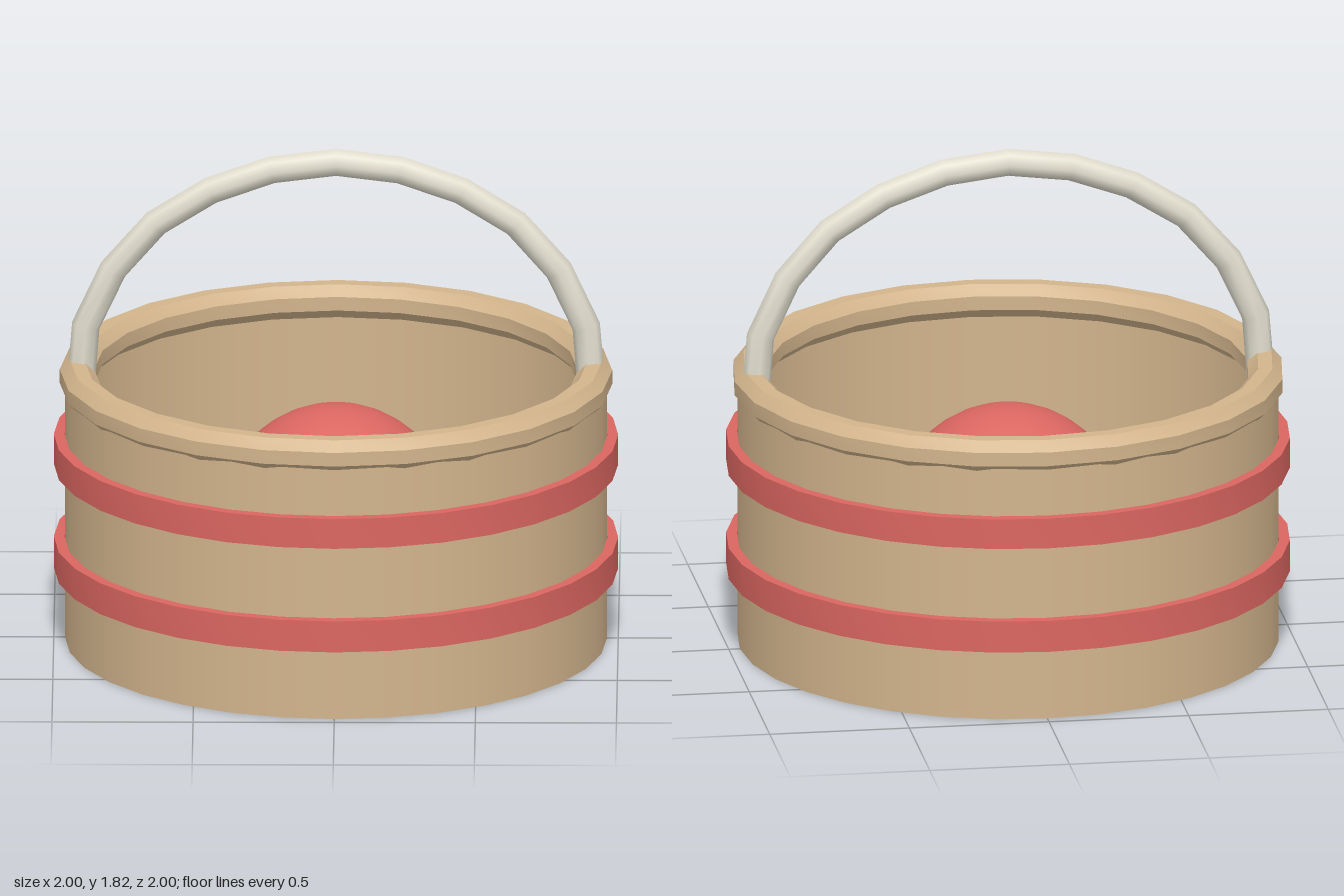
import * as THREE from 'three';
import { toCreasedNormals } from 'three/addons/utils/BufferGeometryUtils.js';

const paint = (name, color, side = THREE.FrontSide) => {
  const m = new THREE.MeshStandardMaterial({ color, side });
  m.name = name;
  return m;
};

// Closed ring turned from a counter-clockwise (radius, height) outline
function ring(outline, segments) {
  const pts = [...outline, outline[0]].map(([r, y]) => new THREE.Vector2(r, y));
  return toCreasedNormals(new THREE.LatheGeometry(pts, segments), 0.5);
}

// Five-pointed star with a raised centre and a flat underside
function starGeometry(outer, inner, height) {
  const corner = (i) => {
    const a = (i * Math.PI) / 5;
    const r = i % 2 ? inner : outer;
    return [Math.sin(a) * r, 0, -Math.cos(a) * r];
  };
  const pos = [];
  for (let i = 0; i < 10; i++) {
    const a = corner(i), b = corner(i + 1);
    pos.push(...b, ...a, 0, height, 0);
    pos.push(...a, ...b, 0, 0, 0);
  }
  const g = new THREE.BufferGeometry();
  g.setAttribute('position', new THREE.Float32BufferAttribute(pos, 3));
  g.computeVertexNormals();
  return g;
}

export function createModel() {
  const group = new THREE.Group();
  const tan = paint('tan', 0xd2b48c);
  const tanSheet = paint('tanSheet', 0xd2b48c, THREE.DoubleSide);
  const red = paint('red', 0xdb6661);
  const ivory = paint('ivory', 0xe2decf);
  const gold = paint('gold', 0xdcbe4c);

  const add = (name, geometry, material, y = 0) => {
    const mesh = new THREE.Mesh(geometry, material);
    mesh.name = name;
    mesh.position.y = y;
    group.add(mesh);
    return mesh;
  };

  // Basket wall and floor
  add('wall', new THREE.CylinderGeometry(0.96, 0.96, 0.96, 32, 1, true), tanSheet, 0.48);
  add('floor', new THREE.CircleGeometry(0.96, 32).rotateX(-Math.PI / 2), tanSheet, 0.002);

  // Eight-sided rolled rim
  const rim = [];
  for (let i = 0; i < 8; i++) {
    const a = ((i - 0.5) * Math.PI) / 4;
    rim.push([0.918 + 0.066 * Math.cos(a), 0.969 + 0.066 * Math.sin(a)]);
  }
  add('rim', ring(rim, 24), tan);

  // Painted hoops
  for (const [name, y0, y1] of [['lowerHoop', 0.26, 0.375], ['upperHoop', 0.645, 0.755]]) {
    add(name, ring([[0.962, y0], [1, y0], [1, y1], [0.962, y1]], 32), red);
  }

  // Arched handle, mirrored from one half
  const half = [[0.905, 0.93], [0.89, 1.145], [0.8, 1.35], [0.655, 1.525], [0.455, 1.655], [0.235, 1.735]];
  const path = [
    ...half.map(([x, y]) => new THREE.Vector3(-x, y, 0)),
    new THREE.Vector3(0, 1.765, 0),
    ...half.slice().reverse().map(([x, y]) => new THREE.Vector3(x, y, 0)),
  ];
  add('handle', new THREE.TubeGeometry(new THREE.CatmullRomCurve3(path), 12, 0.05, 8), ivory);

  // Ball with its band, and the star beneath it
  add('ball', new THREE.SphereGeometry(0.415, 32, 20), red, 0.44);
  add('ballBand', new THREE.TorusGeometry(0.415, 0.026, 8, 32).rotateX(Math.PI / 2), ivory, 0.44);
  add('star', starGeometry(0.535, 0.3, 0.2), gold);

  return group;
}
